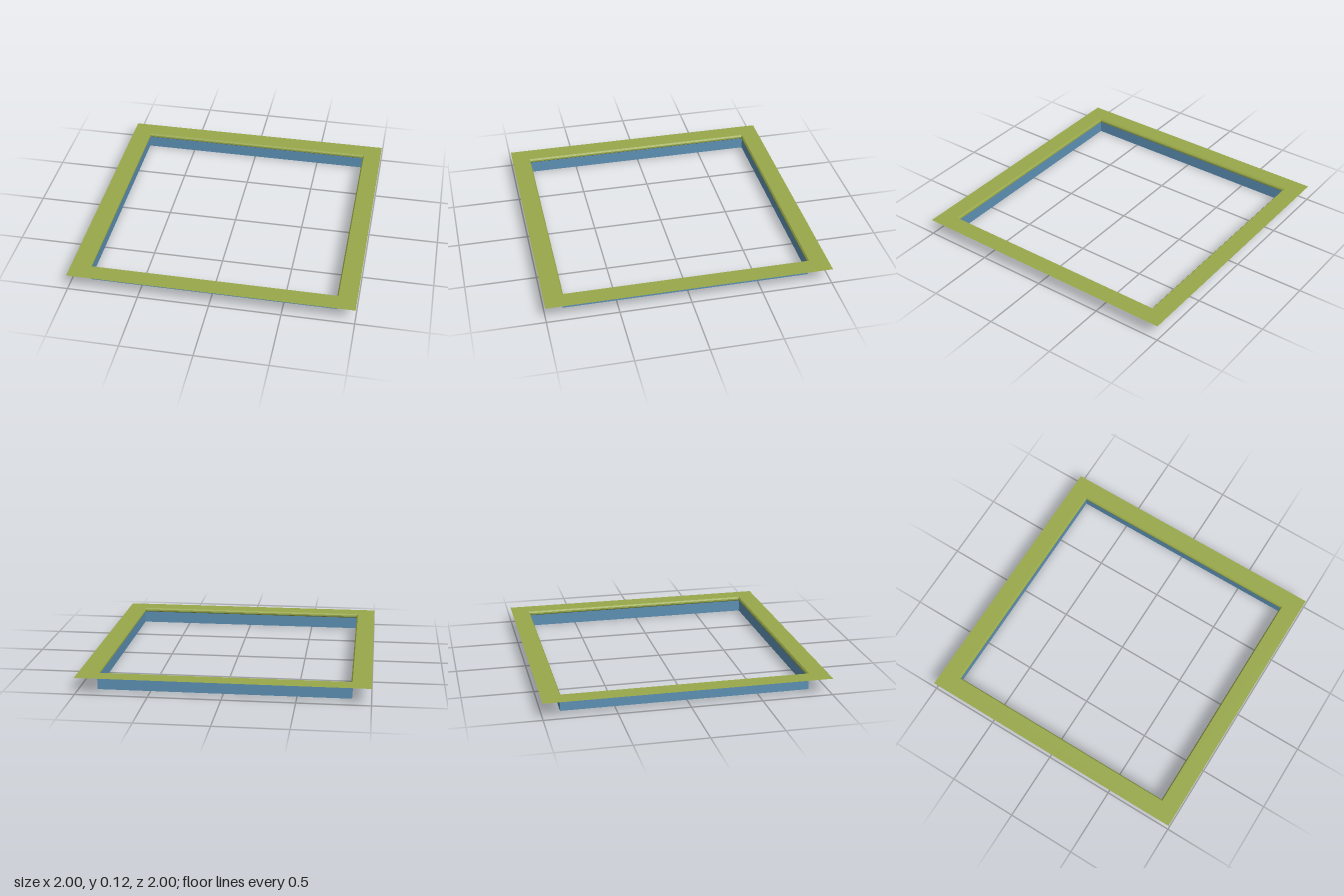
import * as THREE from 'three';

// Square sheet swept around y from a profile of [half width, height] points
function squareRing(name, profile, color) {
  const points = profile.map(([r, y]) => new THREE.Vector2(r * Math.SQRT2, y));
  const geometry = new THREE.LatheGeometry(points, 4, Math.PI / 4).toNonIndexed();
  geometry.computeVertexNormals();
  const material = new THREE.MeshStandardMaterial({ color, flatShading: true, side: THREE.DoubleSide });
  const mesh = new THREE.Mesh(geometry, material);
  mesh.name = name;
  return mesh;
}

export function createModel() {
  const group = new THREE.Group();
  group.name = 'squareFrame';
  const green = 0x98a84a, blue = 0x5c90b4;

  // Upright wall, open at top and bottom
  group.add(squareRing('wall', [[0.87, 0], [0.87, 0.087]], blue));
  // Pinched neck between wall and flange
  group.add(squareRing('neck', [[0.87, 0.087], [0.861, 0.095], [0.861, 0.107], [0.87, 0.118]], green));
  // Thin flat flange around the top, facing up
  group.add(squareRing('flange', [[1, 0.118], [0.87, 0.118]], green));
  return group;
}
